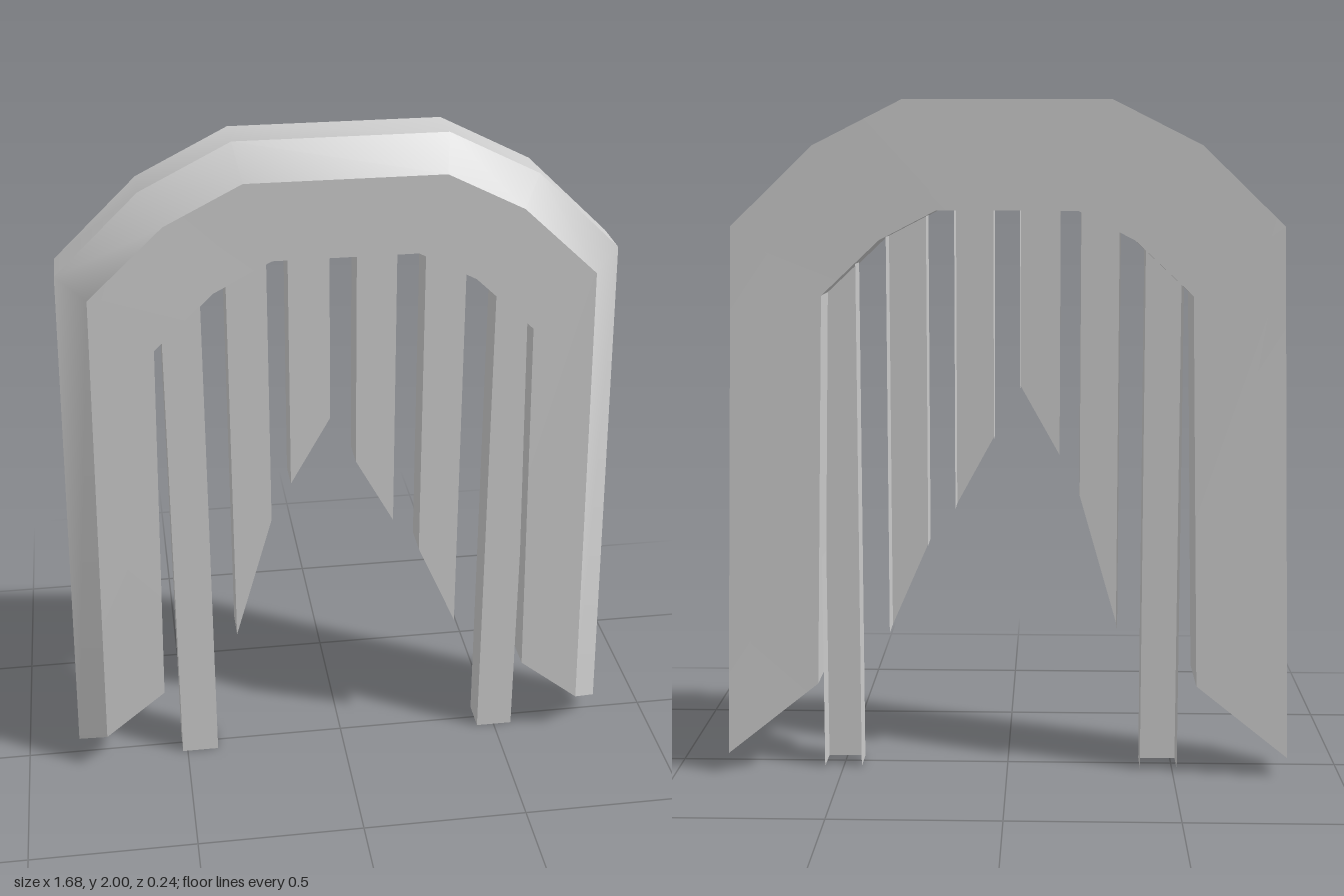
import * as THREE from 'three';
import { toCreasedNormals } from 'three/addons/utils/BufferGeometryUtils.js';

const material = new THREE.MeshStandardMaterial({ color: 0xcccccc, side: THREE.DoubleSide });

// Joins point rows [x, y, z] with quads; closed wraps each row round to its start
function skin(rows, closed) {
  const n = rows[0].length;
  const index = [];
  for (let i = 0; i < rows.length - 1; i++) {
    for (let j = 0; j < (closed ? n : n - 1); j++) {
      const a = i * n + j, b = i * n + (j + 1) % n;
      index.push(a, b, b + n, a, b + n, a + n);
    }
  }
  const geometry = new THREE.BufferGeometry();
  geometry.setAttribute('position', new THREE.Float32BufferAttribute(rows.flat(2), 3));
  geometry.setIndex(index);
  return toCreasedNormals(geometry, 0.6);
}

function addMesh(parent, name, geometry) {
  const mesh = new THREE.Mesh(geometry, material);
  mesh.name = name;
  parent.add(mesh);
}

export function createModel() {
  const model = new THREE.Group();
  model.name = 'archWithBars';

  // Arch: five-sided hollow section from foot to crown, mirrored; feet stay open
  // outer x, y | bevel x, y | inner x, y | back z, crease z, front z
  const stations = [
    [0.84, 0.06, 0.75, 0.13, 0.565, 0.28, -0.12, 0.015, 0.112],
    [0.80, 1.64, 0.715, 1.60, 0.54, 1.44, -0.107, 0.03, 0.12],
    [0.56, 1.87, 0.50, 1.80, 0.37, 1.60, -0.112, 0.025, 0.115],
    [0.30, 2.00, 0.28, 1.91, 0.205, 1.685, -0.115, 0.022, 0.112],
  ];
  const section = (s, side) => {
    const [ox, oy, bx, by, ix, iy, back, crease, front] = s;
    return [[ox, oy, back], [ox, oy, crease], [bx, by, front], [ix, iy, front], [ix, iy, back]]
      .map(([x, y, z]) => [x * side, y, z]);
  };
  const rings = [
    ...stations.map((s) => section(s, -1)),
    ...stations.slice().reverse().map((s) => section(s, 1)),
  ];
  addMesh(model, 'arch', skin(rings, true));

  // Hanging bars: channels open at the back, with slanted lower ends
  // x from, x to, bottom y at each side, top y hidden in the arch
  const bars = [
    [-0.515, -0.403, 0, 0, 1.58],
    [-0.33, -0.215, 0.43, 0.83, 1.70],
    [-0.155, -0.037, 0.95, 1.16, 1.73],
    [0.04, 0.155, 1.01, 0.80, 1.73],
    [0.237, 0.355, 0.69, 0.42, 1.70],
    [0.445, 0.557, 0, 0, 1.58],
  ];
  const zFront = 0.047, zBack = -0.055;
  const barGroup = new THREE.Group();
  barGroup.name = 'bars';
  bars.forEach(([x0, x1, y0, y1, top], i) => {
    const row = (l, r) => [[x0, l, zBack], [x0, l, zFront], [x1, r, zFront], [x1, r, zBack]];
    addMesh(barGroup, `bar${i + 1}`, skin([row(y0, y1), row(top, top)], false));
  });
  model.add(barGroup);

  return model;
}
